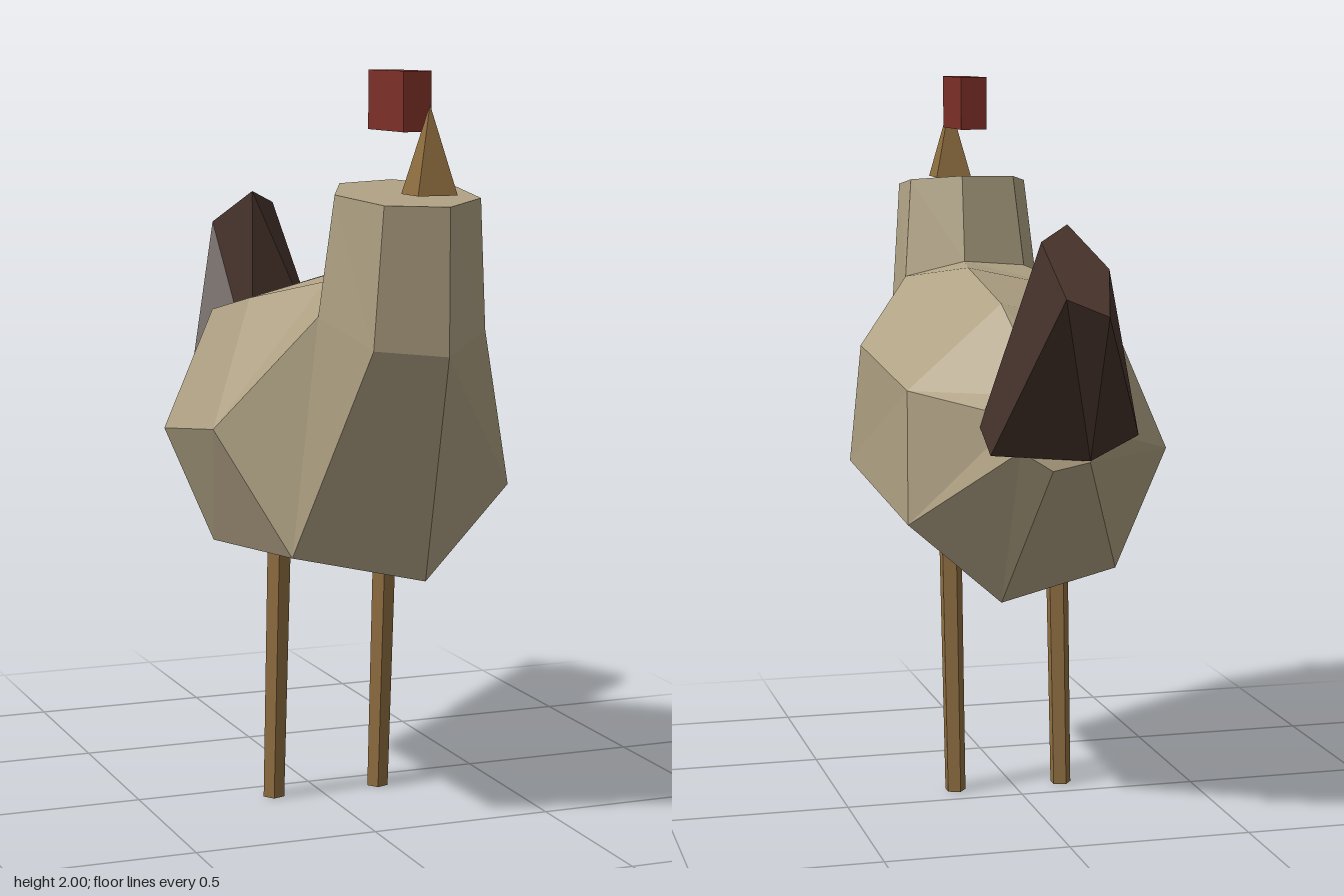
import * as THREE from 'three';

const CX = 0.02; // centre line of the bird

const mat = (name, color) => {
  const m = new THREE.MeshStandardMaterial({ color, flatShading: true });
  m.name = name;
  return m;
};

// Closed loft through n-sided rings.
// Each ring: centre [x, y, z], half width rx, second half axis (vy, vz).
function loft(n, rings) {
  const pos = [];
  const pts = rings.map(([x, y, z, rx, vy, vz]) =>
    Array.from({ length: n }, (_, k) => {
      const a = ((2 * k + 1) * Math.PI) / n;
      return [x + rx * Math.cos(a), y + vy * Math.sin(a), z + vz * Math.sin(a)];
    })
  );
  const tri = (a, b, c) => pos.push(...a, ...b, ...c);
  for (let i = 0; i < pts.length - 1; i++) {
    for (let k = 0; k < n; k++) {
      const k2 = (k + 1) % n;
      const a = pts[i][k], b = pts[i][k2], c = pts[i + 1][k2], d = pts[i + 1][k];
      tri(a, d, c);
      tri(a, c, b);
    }
  }
  // end caps
  const first = pts[0], last = pts[pts.length - 1];
  for (let k = 1; k < n - 1; k++) {
    tri(first[0], first[k], first[k + 1]);
    tri(last[0], last[k + 1], last[k]);
  }
  const g = new THREE.BufferGeometry();
  g.setAttribute('position', new THREE.Float32BufferAttribute(pos, 3));
  g.computeVertexNormals();
  return g;
}

export function createModel() {
  const group = new THREE.Group();
  group.name = 'hen';
  const feathers = mat('tan feathers', 0xb0a284);
  const dark = mat('dark brown feathers', 0x45322a);
  const horn = mat('ochre horn', 0x8f6e40);
  const red = mat('comb red', 0x7c2f27);

  const add = (name, geometry, material) => {
    const mesh = new THREE.Mesh(geometry, material);
    mesh.name = name;
    group.add(mesh);
    return mesh;
  };

  // neck top, neck base, breast, rump, tail root
  add('body', loft(7, [
    [CX, 1.695, 0.63, 0.19, 0.025, -0.19],
    [CX, 1.388, 0.595, 0.22, 0.092, -0.212],
    [CX, 1.08, 0.36, 0.42, 0.41, -0.205],
    [CX, 1.005, -0.18, 0.38, 0.418, 0],
    [CX, 1.1, -0.46, 0.12, 0.095, 0.04],
  ]), feathers);

  // tail fan: narrow and deep at the tip, wide and thin at the root
  add('tail', loft(5, [
    [CX, 1.54, -0.637, 0.08, -0.105, -0.205],
    [CX, 1.08, -0.41, 0.23, -0.051, -0.1],
  ]), dark);

  // legs, leaning back towards the top of the foot
  for (const side of [-1, 1]) {
    const x = CX + side * 0.155;
    add(side > 0 ? 'leftLeg' : 'rightLeg', loft(5, [
      [x, 0.7, 0.13, 0.033, 0, -0.033],
      [x - 0.003, 0, 0.094, 0.03, 0, -0.03],
    ]), horn);
  }

  // upright four-sided beak
  const beak = new THREE.ConeGeometry(0.0745, 0.22, 4);
  beak.rotateY(Math.PI / 4);
  add('beak', beak, horn).position.set(CX, 1.81, 0.782);

  // comb block above the neck
  add('comb', new THREE.BoxGeometry(0.075, 0.15, 0.23), red).position.set(CX, 1.925, 0.59);

  return group;
}
